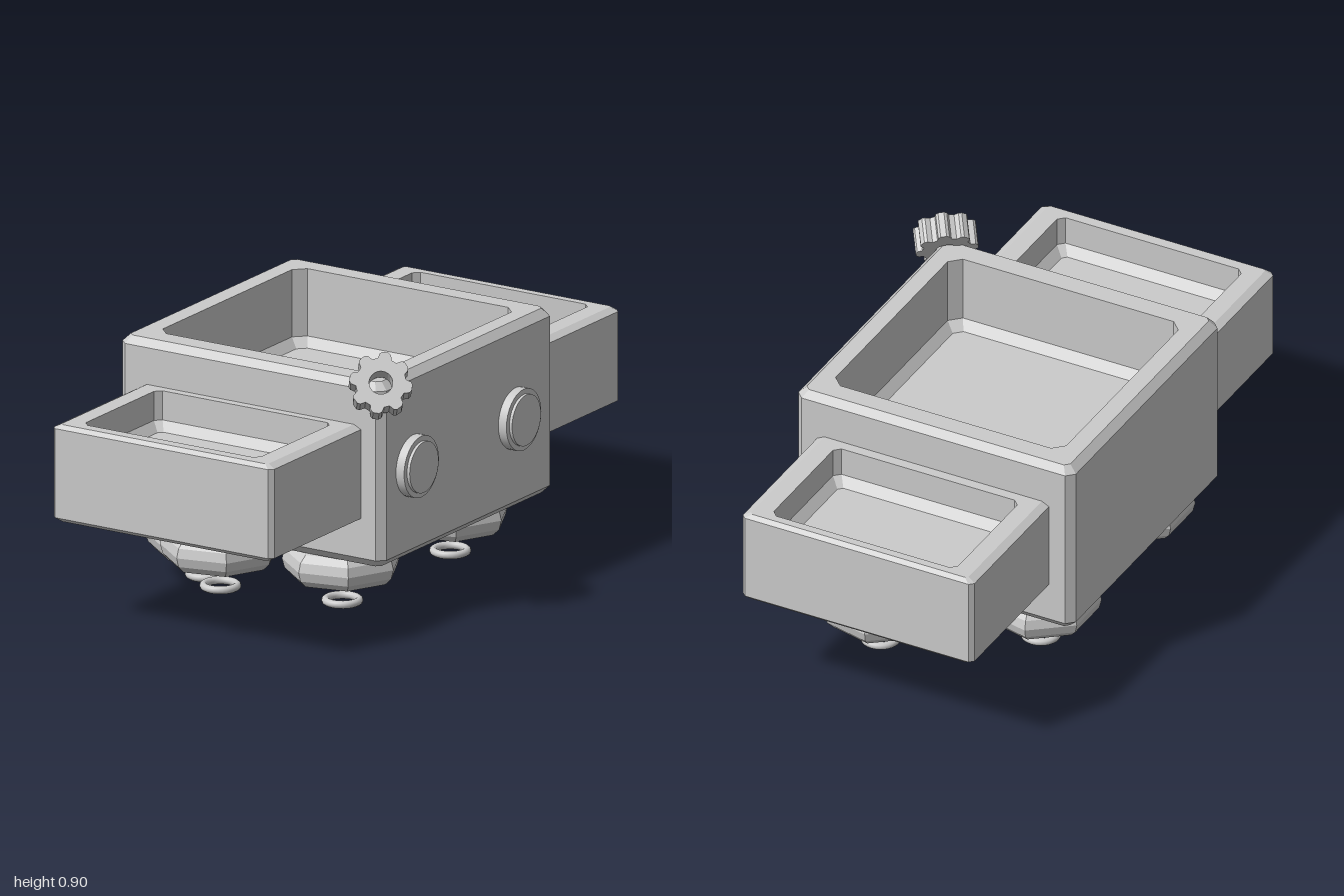
import * as THREE from 'three';

const grey = new THREE.MeshStandardMaterial({ color: 0xcccccc });
const faceted = new THREE.MeshStandardMaterial({ color: 0xcccccc, flatShading: true });

function add(parent, name, geometry, material = grey) {
  const mesh = new THREE.Mesh(geometry, material);
  mesh.name = name;
  parent.add(mesh);
  return mesh;
}

// Rectangle with cut corners at height y, running counter-clockwise seen from above
function ring([x0, x1, z0, z1], y, ix, iz, cut) {
  const a = x0 + ix, b = x1 - ix, c = z0 + iz, d = z1 - iz;
  return [
    [b, d - cut], [b, c + cut], [b - cut, c], [a + cut, c],
    [a, c + cut], [a, d - cut], [a + cut, d], [b - cut, d],
  ].map(([x, z]) => new THREE.Vector3(x, y, z));
}

// Open tray: rings run up the outside, over the rim and down to the floor
function trayGeometry(outer, inner, y0, y1, floor, [bx, by, bz], cut) {
  const rings = [
    ring(outer, y0, bx, bz, cut * 0.6),
    ring(outer, y0 + by, 0, 0, cut),
    ring(outer, y1 - by, 0, 0, cut),
    ring(outer, y1, bx, bz, cut * 0.6),
    ring(inner, y1, 0, 0, cut * 1.4),
    ring(inner, floor + 0.03, 0, 0, cut * 1.4),
    ring(inner, floor, 0.027, 0.027, cut),
  ];
  const pts = [];
  for (let k = 0; k < rings.length - 1; k++) {
    for (let i = 0; i < 8; i++) {
      const j = (i + 1) % 8;
      const a = rings[k][i], b = rings[k][j], c = rings[k + 1][j], d = rings[k + 1][i];
      pts.push(a, b, c, a, c, d);
    }
  }
  const bottom = rings[0], top = rings[rings.length - 1];
  for (let i = 1; i < 7; i++) {
    pts.push(bottom[0], bottom[i + 1], bottom[i]);
    pts.push(top[0], top[i], top[i + 1]);
  }
  const geometry = new THREE.BufferGeometry().setFromPoints(pts);
  geometry.computeVertexNormals();
  return geometry;
}

// Toothed dial outline with a round bore
function dialGeometry(depth) {
  const shape = new THREE.Shape();
  const teeth = 8;
  const profile = [[-0.36, 0.079], [-0.24, 0.094], [-0.12, 0.099], [0.12, 0.099], [0.24, 0.094], [0.36, 0.079]];
  for (let t = 0; t < teeth; t++) {
    profile.forEach(([u, r], k) => {
      const a = ((t + u) / teeth) * Math.PI * 2;
      if (t === 0 && k === 0) shape.moveTo(r * Math.cos(a), r * Math.sin(a));
      else shape.lineTo(r * Math.cos(a), r * Math.sin(a));
    });
  }
  shape.closePath();
  const bore = new THREE.Path();
  bore.absarc(0, 0, 0.037, 0, Math.PI * 2, true);
  shape.holes.push(bore);
  const geometry = new THREE.ExtrudeGeometry(shape, { depth, bevelEnabled: false, curveSegments: 12 });
  return geometry.translate(0, 0, -depth / 2);
}

export function createModel() {
  const model = new THREE.Group();
  model.name = 'trayCart';

  // Central bin
  add(model, 'mainBin', trayGeometry(
    [-0.535, 0.447, -0.495, 0.49], [-0.45, 0.366, -0.41, 0.4],
    0.197, 0.8, 0.55, [0.025, 0.025, 0.02], 0.025));

  // End trays
  const trayBevel = [0.025, 0.013, 0.013];
  add(model, 'frontTray', trayGeometry(
    [-0.453, 0.367, 0.47, 1], [-0.37, 0.282, 0.52, 0.95],
    0.338, 0.655, 0.53, trayBevel, 0.014));
  add(model, 'backTray', trayGeometry(
    [-0.453, 0.367, -1, -0.475], [-0.37, 0.282, -0.96, -0.53],
    0.338, 0.655, 0.53, trayBevel, 0.014));

  // Feet: seven-sided cushion ring with a small ring below it
  const cushion = new THREE.TorusGeometry(0.13, 0.06, 12, 7).rotateX(-Math.PI / 2);
  const padRing = new THREE.TorusGeometry(0.053, 0.0125, 10, 28).rotateX(-Math.PI / 2);
  const feet = [
    [-0.318, 0, 0.323], [0.19, 0, 0.323],
    [-0.318, 0, -0.296], [0.19, 0, -0.296],
    [0.018, 0.132, 0.757], [0.018, 0.132, -0.727],
  ];
  for (const position of feet) {
    const foot = new THREE.Group();
    foot.name = 'foot';
    foot.position.set(...position);
    add(foot, 'footCushion', cushion, faceted).position.y = 0.141;
    add(foot, 'footRing', padRing).position.y = 0.0125;
    model.add(foot);
  }

  // Stepped round buttons on the +x side
  for (const z of [0.312, -0.275]) {
    const button = new THREE.Group();
    button.name = 'sideButton';
    button.position.set(0.44, 0.493, z);
    button.rotation.z = -Math.PI / 2;
    add(button, 'buttonBase', new THREE.CylinderGeometry(0.1, 0.1, 0.037, 32)).position.y = 0.0185;
    add(button, 'buttonCap', new THREE.CylinderGeometry(0.083, 0.083, 0.047, 32)).position.y = 0.0235;
    model.add(button);
  }

  // Toothed dial tilted outward on the upper front corner
  const dial = add(model, 'cornerDial', dialGeometry(0.085));
  dial.position.set(0.437, 0.796, 0.485);
  dial.quaternion.setFromUnitVectors(
    new THREE.Vector3(0, 0, 1), new THREE.Vector3(0.49, 0.5, 0.7).normalize());

  return model;
}
